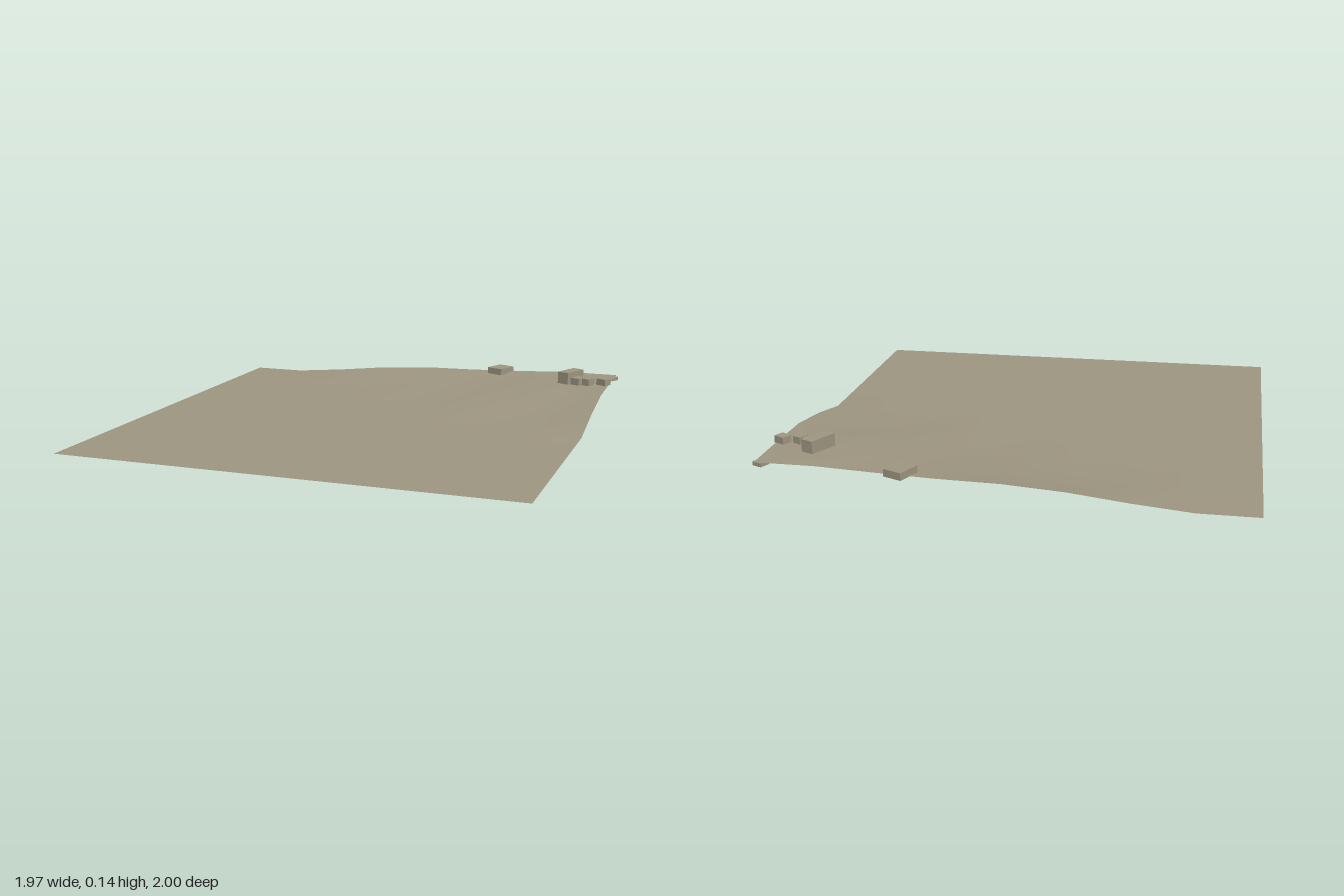
import * as THREE from 'three';

export function createModel() {
  const group = new THREE.Group();
  const soil = new THREE.MeshStandardMaterial({ color: 0x9e9681, side: THREE.DoubleSide });
  soil.name = 'khakiStone';

  // Terrain sheet: 8 x 8 cells, flat except for a rise towards the back left corner
  const heights = [ // rows from the back forwards, columns along +x
    [0, 0, 0.022, 0.05, 0.066, 0.07, 0.079, 0.09, 0.09],
    [0, 0, 0, 0, 0.025, 0.042, 0.068, 0.083, 0.088],
    [0, 0, 0, 0, 0, 0, 0.046, 0.056, 0.083],
    [0, 0, 0, 0, 0, 0, 0, 0, 0.048],
  ];
  const ground = new THREE.PlaneGeometry(1.96, 1.96, 8, 8);
  ground.rotateX(-Math.PI / 2);
  ground.translate(-0.01, 0, 0.015);
  heights.forEach((row, r) => row.forEach((h, c) => ground.attributes.position.setY(r * 9 + c, h)));
  ground.computeVertexNormals();
  const terrain = new THREE.Mesh(ground, soil);
  terrain.name = 'terrain';
  group.add(terrain);

  // Block buildings: name, centre x, centre z, width, depth, bottom, top, turn
  const blocks = [
    ['backHall', 0.386, -0.939, 0.085, 0.104, 0.068, 0.099, -0.41],
    ['tallHall', 0.778, -0.761, 0.058, 0.13, 0.078, 0.138, -0.43],
    ['annex', 0.823, -0.716, 0.048, 0.06, 0.082, 0.115, -0.43],
    ['smallHut', 0.873, -0.706, 0.038, 0.05, 0.084, 0.116, -0.43],
    ['edgeHut', 0.944, -0.722, 0.052, 0.044, 0.086, 0.117, -0.5],
    ['cornerHut', 0.953, -0.935, 0.045, 0.045, 0.07, 0.086, -0.43],
  ];
  for (const [name, x, z, w, d, y0, y1, turn] of blocks) {
    const block = new THREE.Mesh(new THREE.BoxGeometry(w, y1 - y0, d), soil);
    block.name = name;
    block.position.set(x, (y0 + y1) / 2, z);
    block.rotation.y = turn;
    group.add(block);
  }
  return group;
}
